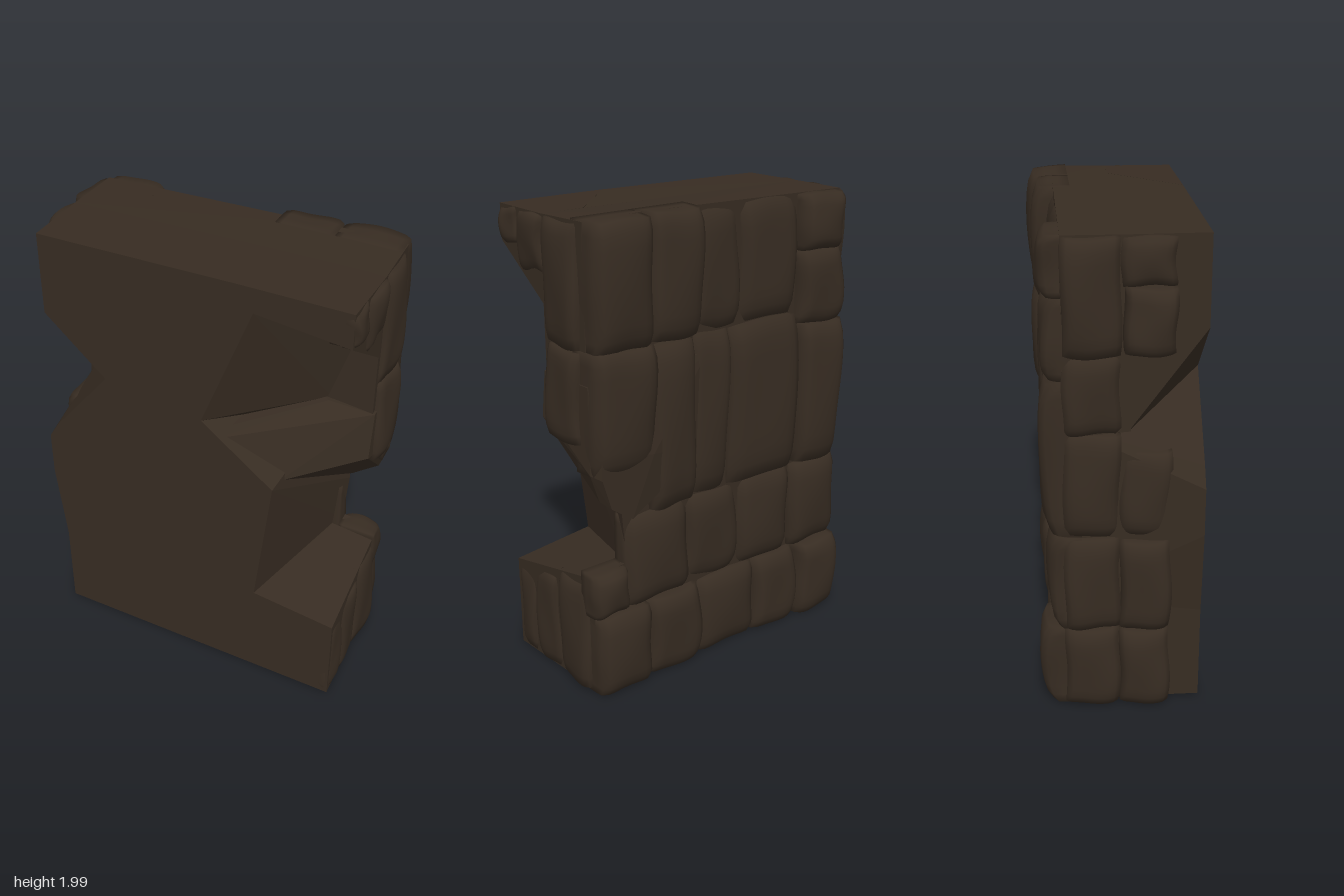
import * as THREE from 'three';
import { mergeVertices } from 'three/addons/utils/BufferGeometryUtils.js';
import { ConvexGeometry } from 'three/addons/geometries/ConvexGeometry.js';

const rock = new THREE.MeshStandardMaterial({ color: 0x372c22 });
rock.name = 'darkBrownStone';

let seed = 7;
function random() {
  seed = (seed * 16807) % 2147483647;
  return seed / 2147483647;
}

// Sharp broken fragment: the convex hull of a few corners
function fragment(name, corners) {
  const mesh = new THREE.Mesh(new ConvexGeometry(corners.map(c => new THREE.Vector3(...c))), rock);
  mesh.name = name;
  return mesh;
}

// Puts a flat outline of [x, y] corners at depth z
const at = (z, outline) => outline.map(([x, y]) => [x, y, z]);

// Worn masonry block with a gently domed outer face and uneven edges; its outside is local +z
function block(width, height, depth, dome) {
  let geo = new THREE.BoxGeometry(2, 2, 2, 10, 10, 3);
  geo.deleteAttribute('uv');
  geo.deleteAttribute('normal');
  geo = mergeVertices(geo);
  const phase = random() * 6.28, tilt = (random() - 0.5) * 0.015;
  const p = geo.attributes.position;
  for (let i = 0; i < p.count; i++) {
    const u = p.getX(i), v = p.getY(i), w = (p.getZ(i) + 1) / 2;
    const rim = (Math.pow(Math.abs(u), 8) + Math.pow(Math.abs(v), 8)) / 2;
    const wave = 0.007 * Math.sin(2.3 * u + phase) * Math.cos(2.1 * v + phase * 2);
    const inset = 1 - 0.02 * w * w;
    p.setXYZ(i,
      u * inset * width / 2 + 0.006 * Math.sin(3 * v + phase) * w,
      v * inset * height / 2 + 0.005 * Math.sin(3 * u + phase * 1.7) * w,
      w * (depth - dome * rim - dome * 0.25 * (u * u + v * v) + wave + tilt * v));
  }
  return geo;
}

// How far each face's blocks start from the middle, and how rounded they are
const faces = {
  back: { base: 0.15, dome: 0.04 },
  left: { base: 0.6, dome: 0.022 },
  right: { base: 0.57, dome: 0.032 },
};

// Place a block on the back, where a runs along x, or on a side, where a runs along z
function place(face, a0, a1, y0, y1, reach) {
  const { base, dome } = faces[face];
  const geo = block(a1 - a0, y1 - y0, reach - base, dome);
  const a = (a0 + a1) / 2, y = (y0 + y1) / 2;
  if (face === 'back') geo.rotateY(Math.PI).translate(a, y, -base);
  if (face === 'left') geo.rotateY(Math.PI / 2).translate(base, y, a);
  if (face === 'right') geo.rotateY(-Math.PI / 2).translate(-base, y, a);
  geo.computeVertexNormals();
  const mesh = new THREE.Mesh(geo, rock);
  mesh.name = face + 'Block';
  return mesh;
}

export function createModel() {
  const model = new THREE.Group();
  model.name = 'brokenWallSection';

  // Fractured core with flat front and broken-out notches
  const core = new THREE.Group();
  core.name = 'fracturedCore';
  core.add(
    fragment('baseFragment', [
      ...at(0.33, [[-0.63, 0.015], [0.7, 0.015], [0.7, 0.43], [0.33, 0.47], [-0.63, 0.44]]),
      ...at(-0.22, [[-0.63, 0.015], [0.67, 0.015], [0.68, 0.55], [0.52, 0.57], [-0.63, 0.55]]),
    ]),
    fragment('middleFragment', [
      ...at(0.33, [[-0.63, 0.42], [0.33, 0.47], [0.4, 1.08], [0.15, 1.25], [0.08, 1.32],
        [-0.11, 1.42], [-0.36, 1.38], [-0.62, 1.06], [-0.67, 0.98], [-0.67, 0.78]]),
      ...at(-0.22, [[-0.63, 0.5], [0.51, 0.55], [0.53, 0.79], [0.5, 1.3], [-0.63, 1.25]]),
    ]),
    fragment('upperFragment', [
      ...at(0.33, [[-0.63, 1.975], [0.24, 1.985], [0.3, 1.88], [0.08, 1.32], [-0.36, 1.38], [-0.63, 1.62]]),
      ...at(0.03, [[-0.64, 1.975], [0.59, 1.985], [0.59, 1.63], [0.51, 1.39], [0.3, 1.25], [-0.64, 1.22]]),
    ]),
    fragment('overhangFragment', [
      ...at(0.33, [[0.2, 1.985], [0.69, 1.985], [0.69, 1.84], [0.3, 1.88]]),
      ...at(0.03, [[0.5, 1.985], [0.69, 1.985], [0.69, 1.63], [0.59, 1.63]]),
    ]),
    fragment('ledgeFragment', [
      [0.15, 1.25, 0.32], [0.17, 1.28, 0.26], [0.4, 1.08, 0.26], [0.51, 1.39, 0.06],
      [0.7, 1.17, 0.07], [0.7, 1.37, 0.04], [0.7, 1.11, -0.1],
      ...at(-0.24, [[0.1, 1.4], [0.1, 1], [0.53, 0.8], [0.65, 0.89], [0.69, 1.01], [0.69, 1.37]]),
      ...at(-0.295, [[0.42, 1.05], [0.53, 0.8], [0.63, 0.87], [0.67, 1], [0.67, 1.1]]),
    ]),
    fragment('rearFragment', [
      ...at(0.04, [[-0.64, 1.22], [0.4, 1.22], [0.69, 1.2], [0.69, 1.985], [-0.64, 1.975]]),
      ...at(-0.22, [[-0.64, 1.2], [0.68, 1.2], [0.68, 1.99], [0.4, 1.995], [0, 1.985], [-0.64, 1.975]]),
    ]),
  );
  model.add(core);

  // Back courses: bottom, top, then [x0, x1, reach] for each block
  const courses = [
    [0.01, 0.37, [[-0.65, -0.42, 0.32], [-0.42, -0.17, 0.29], [-0.17, 0.15, 0.275], [0.15, 0.42, 0.295], [0.42, 0.68, 0.3]]],
    [0.37, 0.775, [[-0.65, -0.38, 0.285], [-0.38, -0.08, 0.265], [-0.08, 0.2, 0.255], [0.2, 0.52, 0.265]]],
    [0.37, 0.565, [[0.52, 0.69, 0.28]]],
    [0.775, 1.42, [[-0.64, -0.4, 0.31]]],
    [0.775, 1.48, [[-0.4, -0.02, 0.285], [-0.02, 0.18, 0.265], [0.18, 0.4, 0.295]]],
    [1.0, 1.5, [[0.4, 0.69, 0.32]]],
    [1.42, 1.74, [[-0.64, -0.39, 0.3]]],
    [1.74, 1.975, [[-0.62, -0.39, 0.31]]],
    [1.48, 1.98, [[-0.39, -0.08, 0.26], [-0.08, 0.16, 0.25]]],
    [1.49, 1.995, [[0.16, 0.41, 0.315], [0.41, 0.68, 0.325]]],
  ];
  const back = new THREE.Group();
  back.name = 'backMasonry';
  for (const [y0, y1, blocks] of courses)
    for (const [x0, x1, reach] of blocks) back.add(place('back', x0, x1, y0, y1, reach));
  model.add(back);

  // Side blocks: z0, z1, bottom, top, reach from the middle
  const left = [
    [0.2, 0.327, 0.015, 0.42, 0.71], [0.03, 0.2, 0.015, 0.45, 0.71], [-0.19, 0.02, 0.015, 0.5, 0.71],
    [-0.19, 0.02, 1.12, 1.495, 0.73], [-0.19, 0.02, 1.495, 1.98, 0.72],
    [0.03, 0.2, 1.75, 1.98, 0.715], [0.2, 0.327, 1.84, 1.98, 0.71],
  ];
  const right = [
    [0, 0.2, 0.015, 0.36, 0.71], [-0.22, 0, 0.015, 0.37, 0.7],
    [0, 0.2, 0.37, 0.765, 0.71], [-0.22, 0, 0.37, 0.775, 0.69],
    [0, 0.2, 0.78, 1.13, 0.67], [-0.22, 0, 0.78, 1.21, 0.675],
    [-0.22, 0, 1.21, 1.52, 0.675], [-0.22, 0, 1.52, 1.97, 0.7],
    [0.01, 0.2, 1.54, 1.79, 0.735], [0, 0.2, 1.79, 1.97, 0.69],
  ];
  const sides = new THREE.Group();
  sides.name = 'sideMasonry';
  for (const b of left) sides.add(place('left', ...b));
  for (const b of right) sides.add(place('right', ...b));
  model.add(sides);
  return model;
}
